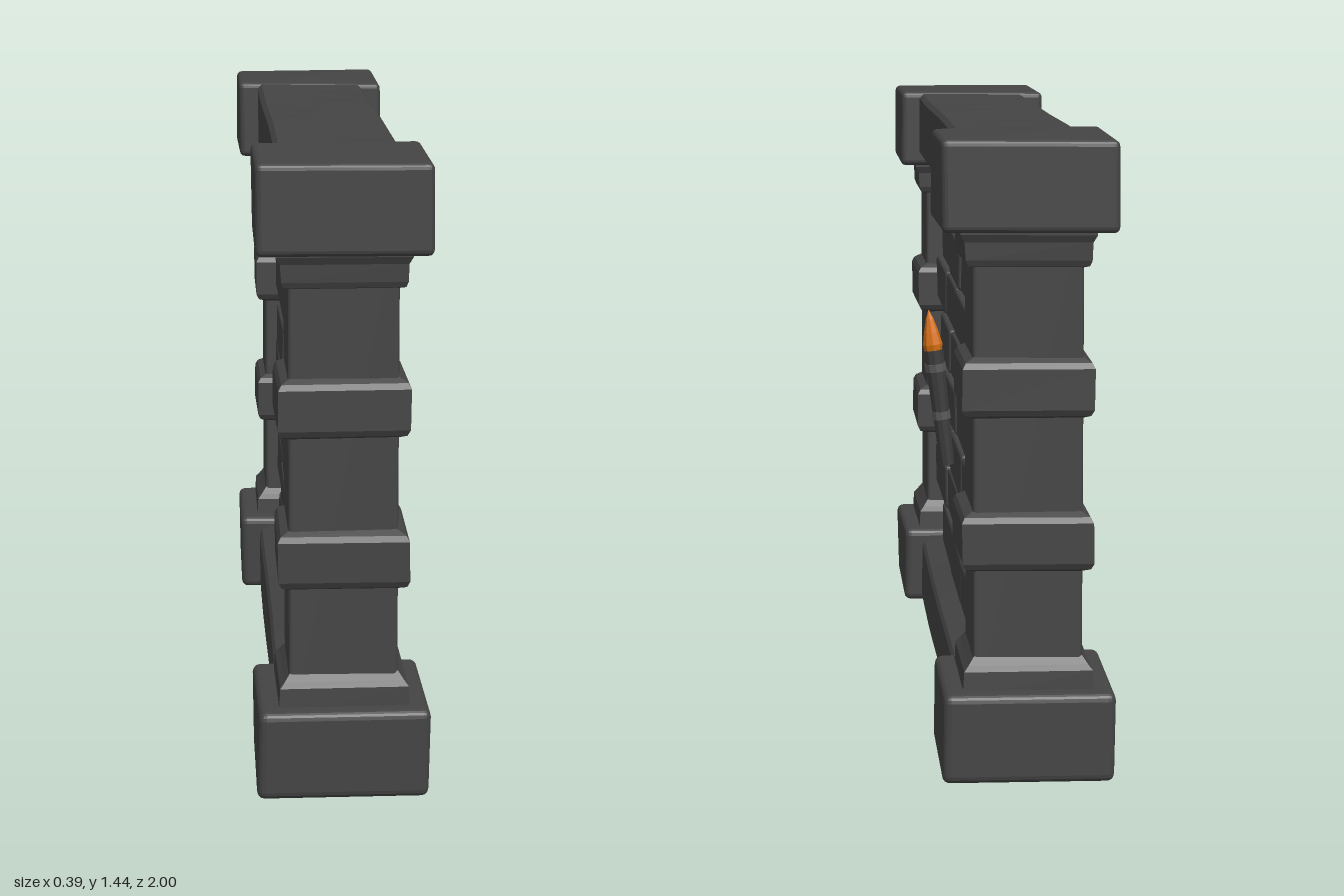
import * as THREE from 'three';
import { RoundedBoxGeometry } from 'three/addons/geometries/RoundedBoxGeometry.js';

const paint = (color) => new THREE.MeshStandardMaterial({ color, flatShading: true });

export function createModel() {
  const model = new THREE.Group();
  const stone = paint(0x444444), wood = paint(0x3c3c3c), iron = paint(0x585858), fire = paint(0xd87010);

  function add(parent, name, geometry, material = stone) {
    const mesh = new THREE.Mesh(geometry, material);
    mesh.name = name;
    parent.add(mesh);
    return mesh;
  }

  // Slow waves along the stone give edges a slightly hand-cut look.
  function hew(geometry, amount) {
    const p = geometry.attributes.position;
    for (let i = 0; i < p.count; i++) {
      const x = p.getX(i), y = p.getY(i), z = p.getZ(i);
      p.setXYZ(i,
        x + amount * Math.sin(9 * y + 5 * z),
        y + amount * Math.sin(11 * x + 7 * z + 1),
        z + amount * Math.sin(8 * y + 10 * x + 2));
    }
    return geometry;
  }

  // Chamfered block spanning x0..x1, y0..y1, z0..z1.
  function block(parent, name, [x0, x1], [y0, y1], [z0, z1], bevel, rough = 0) {
    const g = new RoundedBoxGeometry(x1 - x0, y1 - y0, z1 - z0, 2, bevel);
    g.translate((x0 + x1) / 2, (y0 + y1) / 2, (z0 + z1) / 2);
    return add(parent, name, rough ? hew(g, rough) : g);
  }

  // Moulding stacked from rectangular sections [y, halfX, halfZ].
  function moulding(parent, name, sections, z) {
    const pos = [], idx = [];
    for (const [y, hx, hz] of sections) {
      pos.push(-hx, y, z + hz, hx, y, z + hz, hx, y, z - hz, -hx, y, z - hz);
    }
    for (let s = 0; s < sections.length - 1; s++) {
      for (let k = 0; k < 4; k++) {
        const a = s * 4 + k, b = s * 4 + (k + 1) % 4;
        idx.push(a, b, b + 4, a, b + 4, a + 4);
      }
    }
    const t = (sections.length - 1) * 4;
    idx.push(0, 2, 1, 0, 3, 2, t, t + 1, t + 2, t, t + 2, t + 3);
    let g = new THREE.BufferGeometry();
    g.setAttribute('position', new THREE.Float32BufferAttribute(pos, 3));
    g.setIndex(idx);
    g = hew(g.toNonIndexed(), 0.002);
    g.computeVertexNormals();
    return add(parent, name, g);
  }

  // Two pillars, each with base, shaft, bands, cornice and cap.
  for (const side of [1, -1]) {
    const pillar = new THREE.Group();
    pillar.name = side > 0 ? 'frontPillar' : 'backPillar';
    model.add(pillar);
    const zc = side * 0.815;
    const span = side > 0 ? [0.63, 0.998] : [-0.998, -0.63];
    block(pillar, 'baseBlock', [-0.195, 0.193], [0.003, 0.208], span, 0.018, 0.003);
    block(pillar, 'capBlock', [-0.195, 0.193], [1.24, 1.442], span, 0.014, 0.002);
    block(pillar, 'shaft', [-0.124, 0.122], [0.15, 1.3], [zc - 0.117, zc + 0.117], 0.008);
    moulding(pillar, 'baseMoulding', [
      [0.19, 0.148, 0.14], [0.25, 0.145, 0.137], [0.262, 0.135, 0.127], [0.28, 0.122, 0.115]], zc);
    moulding(pillar, 'cornice', [
      [1.158, 0.12, 0.114], [1.162, 0.134, 0.125], [1.175, 0.139, 0.13],
      [1.215, 0.141, 0.132], [1.232, 0.15, 0.14], [1.25, 0.15, 0.14]], zc);
    for (const y of [0.545, 0.892]) {
      moulding(pillar, 'band', [
        [y - 0.07, 0.12, 0.114], [y - 0.062, 0.14, 0.132], [y - 0.048, 0.147, 0.139],
        [y + 0.044, 0.147, 0.139], [y + 0.057, 0.14, 0.132], [y + 0.068, 0.12, 0.114]], zc);
    }
  }

  // Beams, with a sloped lip where they meet the wall.
  function beam(name, outer, lip, inner) {
    const e = Math.sign(lip - outer) * 0.01;
    const half = [[0.132, outer], [0.143, outer + e], [0.143, lip], [0.136, lip + e], [0.08, inner]];
    const outline = [...half, ...half.map(([x, y]) => [-x, y]).reverse()];
    const shape = new THREE.Shape(outline.map(([x, y]) => new THREE.Vector2(x, y)));
    const g = new THREE.ExtrudeGeometry(shape, { depth: 1.32, bevelEnabled: false, steps: 8 });
    g.translate(0, 0, -0.66);
    add(model, name, hew(g, 0.0015));
  }
  beam('bottomBeam', 0.01, 0.165, 0.196);
  beam('topBeam', 1.437, 1.28, 1.25);

  // Mortar core with raised bricks on both faces.
  add(model, 'wallCore', new THREE.BoxGeometry(0.15, 1.15, 1.5).translate(0, 0.72, 0));
  const bricks = new THREE.Group();
  bricks.name = 'bricks';
  model.add(bricks);
  for (let row = 0; row < 8; row++) {
    const count = row % 2 ? 4 : 3;
    const y = 0.199 + row * 0.1335;
    for (let i = 0; i < count; i++) {
      const z = (i - (count - 1) / 2) * 0.354;
      const out = 0.093 + 0.003 * Math.sin(row * 5 + i * 3);
      for (const s of [1, -1]) {
        const xs = s > 0 ? [0.045, out] : [-out, -0.045];
        block(bricks, 'brick', xs, [y, y + 0.117], [z - 0.168, z + 0.168], 0.01, 0.002);
      }
    }
  }

  // Torch leaning outward from the wall.
  const torch = new THREE.Group();
  torch.name = 'torch';
  torch.position.set(0.114, 0.53, 0);
  torch.rotation.z = -0.115;
  model.add(torch);
  add(torch, 'handle', new THREE.CylinderGeometry(0.026, 0.019, 0.3, 10).translate(0, 0.15, 0), wood);
  for (const [y, r] of [[0.13, 0.0245], [0.255, 0.028]]) {
    add(torch, 'ring', new THREE.CylinderGeometry(r, r, 0.02, 10).translate(0, y, 0), iron);
  }
  const flame = [[0, 0.285], [0.021, 0.29], [0.025, 0.315], [0.019, 0.345], [0.01, 0.38], [0, 0.405]];
  add(torch, 'flame', new THREE.LatheGeometry(flame.map(([r, y]) => new THREE.Vector2(r, y)), 8), fire);

  return model;
}
